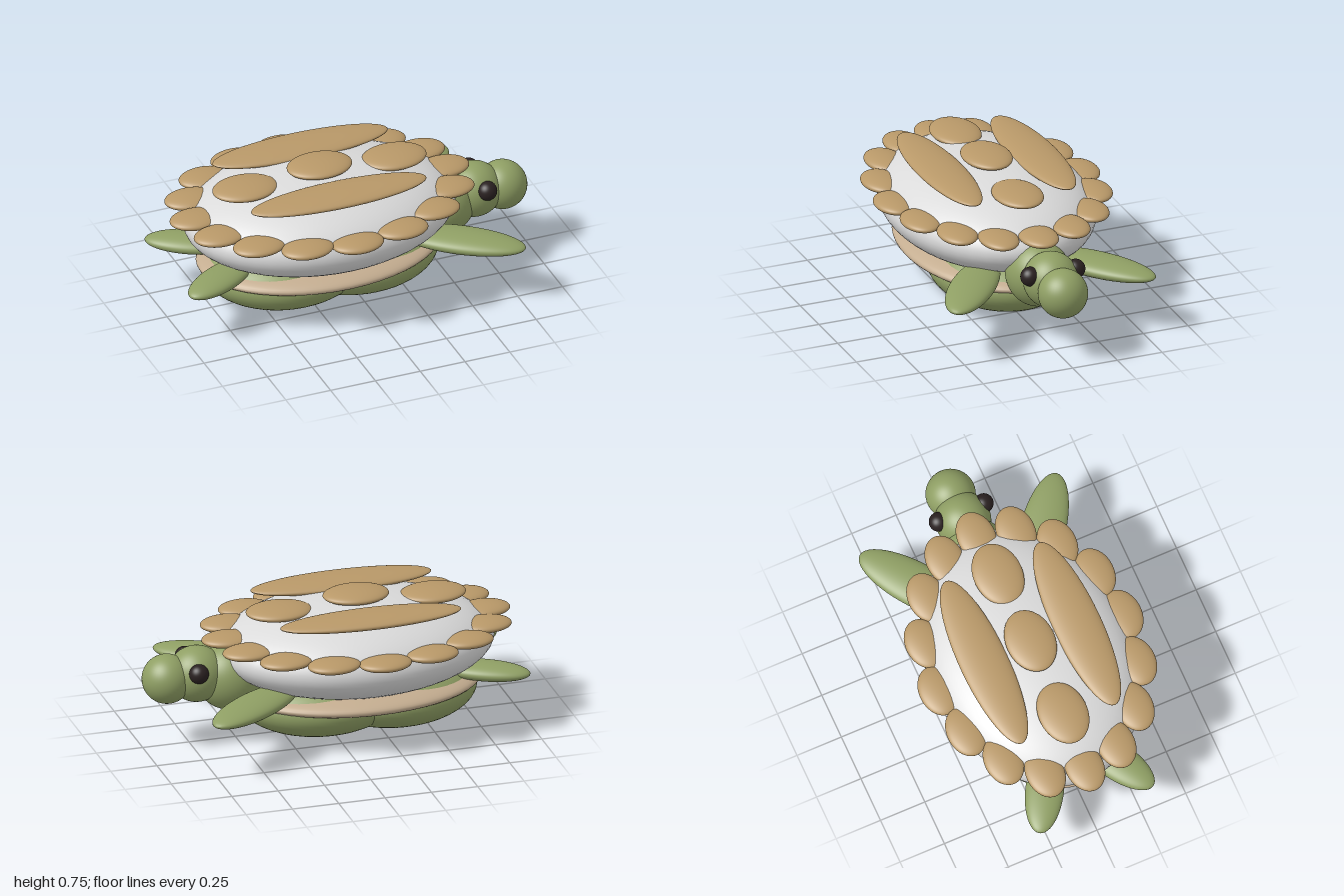
import * as THREE from 'three';

const material = (name, color) => {
  const m = new THREE.MeshStandardMaterial({ color });
  m.name = name;
  return m;
};

export function createModel() {
  const turtle = new THREE.Group();
  turtle.name = 'turtle';

  const skin = material('skin green', 0x8f9f64);
  const shellGrey = material('shell grey', 0xdadada);
  const scuteBrown = material('scute brown', 0xb89868);
  const plateTan = material('plate tan', 0xc4ad90);
  const eyeDark = material('eye dark', 0x2a2121);

  // Every part is a smooth ellipsoid: centre, radii, turn about y
  const sphere = new THREE.SphereGeometry(1, 48, 32);
  function ellipsoid(name, mat, position, radii, turn = 0) {
    const mesh = new THREE.Mesh(sphere, mat);
    mesh.name = name;
    mesh.position.set(...position);
    mesh.scale.set(...radii);
    mesh.rotation.y = turn;
    turtle.add(mesh);
  }

  // Body
  ellipsoid('shell', shellGrey, [-0.15, 0.46, 0], [0.73, 0.24, 0.535]);
  ellipsoid('lowerPlate', plateTan, [-0.155, 0.235, 0], [0.66, 0.08, 0.45]);
  ellipsoid('bellyRear', skin, [-0.35, 0.19, 0], [0.44, 0.19, 0.378]);
  ellipsoid('bellyFront', skin, [0.05, 0.19, 0], [0.44, 0.19, 0.378]);

  // Head
  ellipsoid('neck', skin, [0.53, 0.345, 0], [0.18, 0.177, 0.166]);
  ellipsoid('head', skin, [0.71, 0.38, 0], [0.15, 0.148, 0.145]);
  ellipsoid('snout', skin, [0.87, 0.37, 0], [0.13, 0.13, 0.13]);

  // Mirrored pairs
  for (const side of [1, -1]) {
    const label = side > 0 ? 'Front' : 'Back';
    ellipsoid('eye' + label, eyeDark, [0.735, 0.43, side * 0.127], [0.051, 0.051, 0.051]);
    ellipsoid('frontFlipper' + label, skin, [0.5, 0.312, side * 0.35], [0.341, 0.05, 0.12], -side * 0.645);
    ellipsoid('rearFlipper' + label, skin, [-0.785, 0.291, side * 0.2], [0.24, 0.047, 0.1], side * 0.52);
    ellipsoid('longScute' + label, scuteBrown, [-0.15, 0.685, side * 0.262], [0.487, 0.035, 0.126]);
  }

  // Scutes along the spine
  for (const i of [-1, 0, 1]) {
    ellipsoid('spineScute', scuteBrown, [-0.15 + i * 0.415, i ? 0.675 : 0.717, 0], [0.175, 0.035, 0.128]);
  }

  // Ring of rim scutes
  for (let i = 0; i < 16; i++) {
    const a = (i / 16) * Math.PI * 2;
    const y = 0.54 + 0.012 * Math.abs(Math.cos(a));
    ellipsoid('rimScute', scuteBrown, [-0.15 + 0.69 * Math.cos(a), y, 0.52 * Math.sin(a)], [0.14, 0.034, 0.1]);
  }

  return turtle;
}
